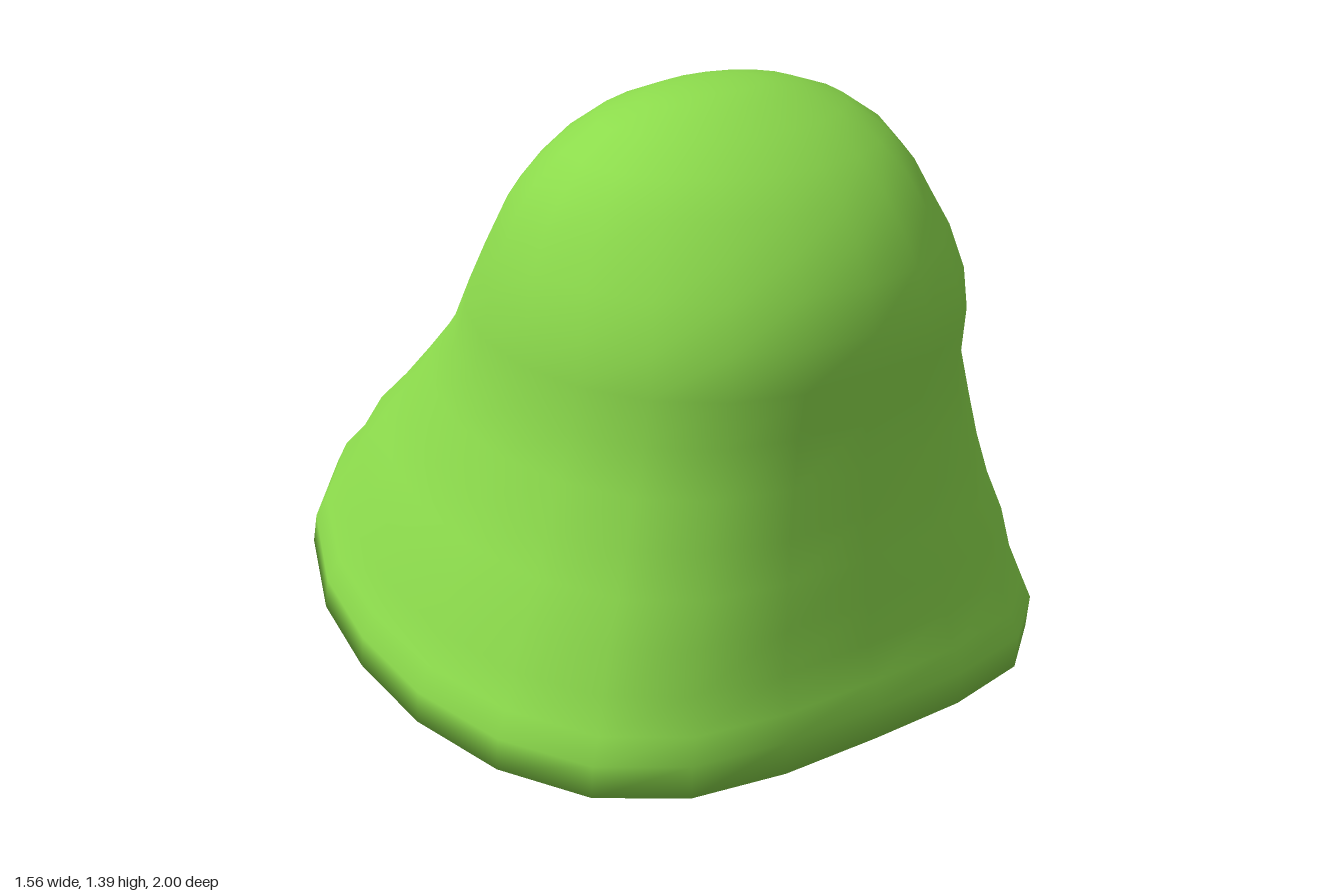
import * as THREE from 'three';

// Half outline of the base, back tip to front, as [x, z]
const BASE = [[0, -1], [0.25, -0.9], [0.48, -0.63], [0.65, -0.29], [0.74, 0.02], [0.78, 0.32],
  [0.755, 0.6], [0.66, 0.82], [0.49, 0.95], [0.26, 0.995], [0, 1]];

// Cross-sections: [height, half width, front z, back z, roundness]
const LEVELS = [
  [0, 0.775, 0.995, -1, 0],
  [0.08, 0.778, 1, -0.975, 0],
  [0.14, 0.75, 0.985, -0.94, 0],
  [0.22, 0.72, 0.96, -0.85, 0.03],
  [0.32, 0.695, 0.955, -0.77, 0.1],
  [0.42, 0.652, 0.94, -0.655, 0.18],
  [0.52, 0.62, 0.933, -0.55, 0.28],
  [0.63, 0.588, 0.93, -0.44, 0.38],
  [0.74, 0.56, 0.926, -0.33, 0.5],
  [0.85, 0.558, 0.945, -0.25, 0.6],
  [0.95, 0.546, 0.945, -0.175, 0.72],
  [1.05, 0.52, 0.915, -0.1, 0.86],
  [1.13, 0.485, 0.875, -0.035, 1],
  [1.2, 0.45, 0.825, 0.03, 1],
  [1.27, 0.39, 0.755, 0.105, 1],
  [1.33, 0.305, 0.66, 0.19, 1],
  [1.37, 0.195, 0.565, 0.285, 1],
  [1.385, 0.1, 0.5, 0.35, 1],
];
const HALF = BASE.length - 1;
const SIDES = HALF * 2;

// Point i of a ring, blending the egg-shaped base into an ellipse
function ringPoint([y, width, front, back, round], i) {
  const mirrored = i > HALF;
  const k = mirrored ? SIDES - i : i;
  const angle = (k / HALF) * Math.PI;
  const x = THREE.MathUtils.lerp(BASE[k][0] / 0.78, Math.sin(angle), round);
  const z = THREE.MathUtils.lerp(BASE[k][1], -Math.cos(angle), round);
  return [(mirrored ? -x : x) * width, y, (front + back) / 2 + z * (front - back) / 2];
}

function bodyGeometry() {
  const positions = [];
  const index = [];
  for (const level of LEVELS) {
    for (let i = 0; i < SIDES; i++) positions.push(...ringPoint(level, i));
  }
  const bottom = LEVELS.length * SIDES;
  const top = bottom + 1;
  positions.push(0, 0, 0.1, 0, 1.39, 0.425);

  const last = (LEVELS.length - 1) * SIDES;
  for (let i = 0; i < SIDES; i++) {
    const j = (i + 1) % SIDES;
    // Underside and crown
    index.push(bottom, i, j);
    index.push(top, last + j, last + i);
    // Wall
    for (let r = 0; r < last; r += SIDES) {
      index.push(r + i, r + SIDES + i, r + j, r + j, r + SIDES + i, r + SIDES + j);
    }
  }
  const geometry = new THREE.BufferGeometry();
  geometry.setAttribute('position', new THREE.Float32BufferAttribute(positions, 3));
  geometry.setIndex(index);
  geometry.computeVertexNormals();
  return geometry;
}

export function createModel() {
  const group = new THREE.Group();
  const body = new THREE.Mesh(bodyGeometry(), new THREE.MeshStandardMaterial({ color: 0x8cdb4c }));
  body.name = 'body';
  group.add(body);
  return group;
}
